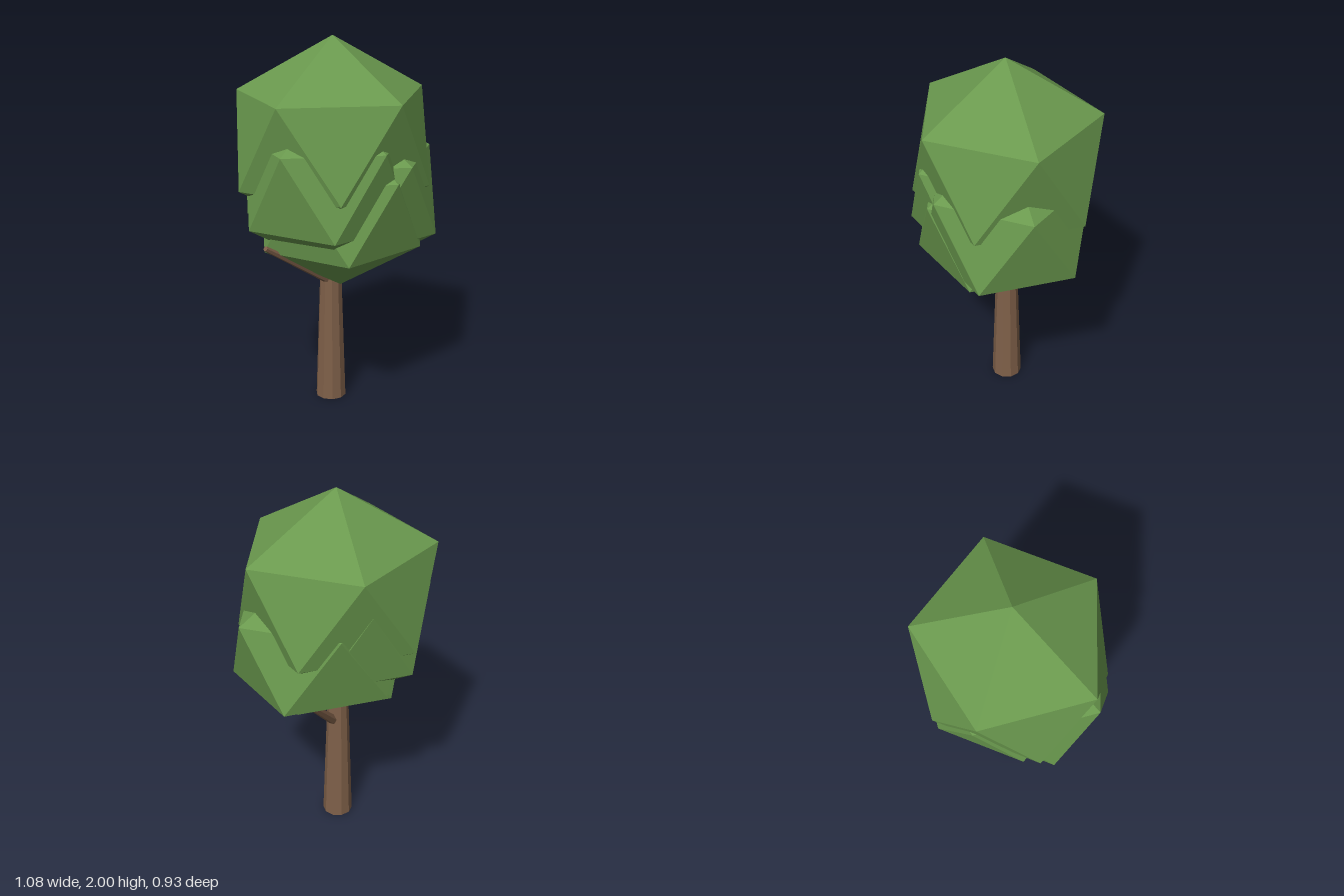
import * as THREE from 'three';

const leafGreen = new THREE.MeshStandardMaterial({ name: 'leafGreen', color: 0x6a994e, flatShading: true });
const barkBrown = new THREE.MeshStandardMaterial({ name: 'barkBrown', color: 0x7f6049, flatShading: true });

// Twenty-sided ball standing on one corner, stretched to the given radii
function leafBall(rx, ry, rz) {
  const ring = 2 / Math.sqrt(5), h = 1 / Math.sqrt(5);
  const points = [0, 1, 0];
  for (const [y, turn] of [[h, 0], [-h, Math.PI / 5]]) {
    for (let k = 0; k < 5; k++) {
      const a = turn + k * Math.PI * 2 / 5;
      points.push(ring * Math.cos(a), y, ring * Math.sin(a));
    }
  }
  points.push(0, -1, 0);
  const faces = [];
  for (let k = 0; k < 5; k++) {
    const n = (k + 1) % 5;
    const u = 1 + k, un = 1 + n, l = 6 + k, ln = 6 + n;
    faces.push(0, un, u, u, un, l, l, un, ln, 11, l, ln);
  }
  return new THREE.PolyhedronGeometry(points, faces, 1, 0).scale(rx, ry, rz);
}

// Tapered limb between two points
function limb(name, from, to, r0, r1, sides) {
  const a = new THREE.Vector3(...from), b = new THREE.Vector3(...to);
  const dir = b.clone().sub(a);
  const geometry = new THREE.CylinderGeometry(r1, r0, dir.length(), sides).rotateY(Math.PI / 2);
  const mesh = new THREE.Mesh(geometry, barkBrown);
  mesh.name = name;
  mesh.position.copy(a).add(b).multiplyScalar(0.5);
  mesh.quaternion.setFromUnitVectors(new THREE.Vector3(0, 1, 0), dir.normalize());
  return mesh;
}

export function createModel() {
  const tree = new THREE.Group();
  tree.name = 'tree';

  // Trunk and the two side branches
  tree.add(
    limb('trunk', [-0.028, 0, -0.012], [-0.028, 0.9, -0.012], 0.083, 0.053, 10),
    limb('rightwardBranch', [0.015, 0.655, -0.027], [0.24, 0.9, -0.14], 0.028, 0.018, 6),
    limb('leftwardBranch', [-0.03, 0.685, 0], [-0.455, 0.97, 0.14], 0.028, 0.014, 6),
  );

  // Overlapping leaf clumps: name, centre, radii
  const clumps = [
    ['topLeaves', [-0.02, 1.475, -0.003], [0.581, 0.525, 0.542]],
    ['sideLeaves', [0.07, 1.18, 0.025], [0.525, 0.47, 0.48]],
    ['lowerLeaves', [0, 1.118, 0.052], [0.48, 0.443, 0.467]],
    ['frontLeaves', [-0.08, 1.265, 0.08], [0.492, 0.47, 0.453]],
    ['backLeaves', [-0.056, 1.305, -0.07], [0.466, 0.46, 0.44]],
  ];
  for (const [name, centre, radii] of clumps) {
    const mesh = new THREE.Mesh(leafBall(...radii), leafGreen);
    mesh.name = name;
    mesh.position.set(...centre);
    tree.add(mesh);
  }
  return tree;
}
